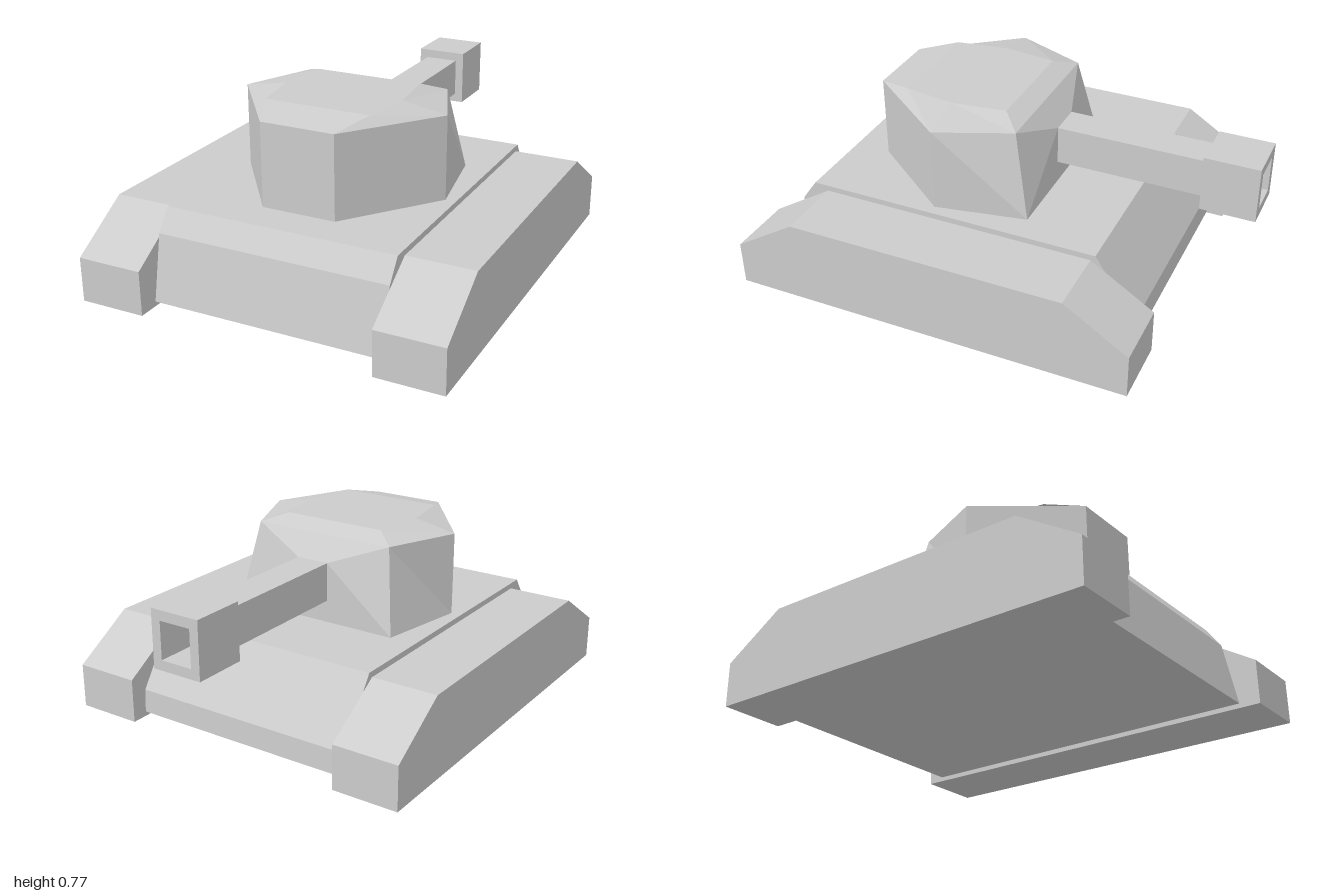
import * as THREE from 'three';

const material = new THREE.MeshStandardMaterial({ color: 0xcccccc, flatShading: true });

function addMesh(parent, name, geometry) {
  const mesh = new THREE.Mesh(geometry, material);
  mesh.name = name;
  parent.add(mesh);
  return mesh;
}

// Side profile of [z, y] points, extruded across x from x0 to x1.
function sideExtrude(profile, x0, x1) {
  const shape = new THREE.Shape(profile.map(([z, y]) => new THREE.Vector2(z, y)));
  const geometry = new THREE.ExtrudeGeometry(shape, { depth: x1 - x0, bevelEnabled: false });
  return geometry.rotateY(-Math.PI / 2).translate(x1, 0, 0);
}

// Mirrors a half outline of [x, z] points into a closed ring at height y.
function ring(half, y) {
  const right = half.map(([x, z]) => [x, y, z]);
  const left = half.map(([x, z]) => [-x, y, z]).reverse();
  return [...right, ...left];
}

function turretGeometry() {
  const base = ring([[0.16, 0.63], [0.455, 0.245], [0.385, -0.14]], 0.385);
  const eave = ring([[0.16, 0.63], [0.455, 0.245], [0.325, -0.065]], 0.74);
  const roof = ring([[0.23, 0.47], [0.265, 0.25], [0.235, 0.017]], 0.775);
  const positions = [];
  const tri = (a, b, c) => positions.push(...a, ...b, ...c);
  const quad = (a, b, c, d) => { tri(a, b, d); tri(b, c, d); };

  for (let i = 0; i < 6; i++) {
    const j = (i + 1) % 6;
    if (i !== 2) quad(base[i], base[j], eave[j], eave[i]);
    quad(eave[i], eave[j], roof[j], roof[i]);
    if (i > 0 && i < 5) tri(roof[0], roof[i], roof[j]);
  }

  // Gun wall: upright panel with facets rising from the barrel to the eave
  const p = [0.073, 0.645, -0.14];
  const q = [-0.073, 0.645, -0.14];
  quad(base[2], base[3], q, p);
  quad(p, q, eave[3], eave[2]);
  tri(base[2], p, eave[2]);
  tri(base[3], eave[3], q);

  const geometry = new THREE.BufferGeometry();
  geometry.setAttribute('position', new THREE.Float32BufferAttribute(positions, 3));
  geometry.computeVertexNormals();
  return geometry;
}

// Square tube, open along z
function muzzleGeometry() {
  const rect = (path, w, h) =>
    path.moveTo(-w, -h).lineTo(w, -h).lineTo(w, h).lineTo(-w, h).closePath();
  const shape = rect(new THREE.Shape(), 0.11, 0.12);
  shape.holes.push(rect(new THREE.Path(), 0.07, 0.078));
  return new THREE.ExtrudeGeometry(shape, { depth: 0.23, bevelEnabled: false });
}

export function createModel() {
  const model = new THREE.Group();
  model.name = 'tank';

  // Hull
  addMesh(model, 'hull', sideExtrude([
    [-0.66, 0.02], [0.91, 0.02], [0.855, 0.295], [0.79, 0.385],
    [-0.48, 0.385], [-0.655, 0.12],
  ], -0.5, 0.5));

  // Tracks
  const track = [[-0.73, 0], [1, 0], [1, 0.19], [0.73, 0.36], [-0.46, 0.36], [-0.73, 0.19]];
  addMesh(model, 'leftTrack', sideExtrude(track, 0.5, 0.785));
  addMesh(model, 'rightTrack', sideExtrude(track, -0.785, -0.5));

  // Turret and gun
  addMesh(model, 'turret', turretGeometry());
  addMesh(model, 'barrel', new THREE.BoxGeometry(0.146, 0.165, 0.63))
    .position.set(0, 0.5625, -0.455);
  addMesh(model, 'muzzle', muzzleGeometry()).position.set(0, 0.5625, -1);

  return model;
}
